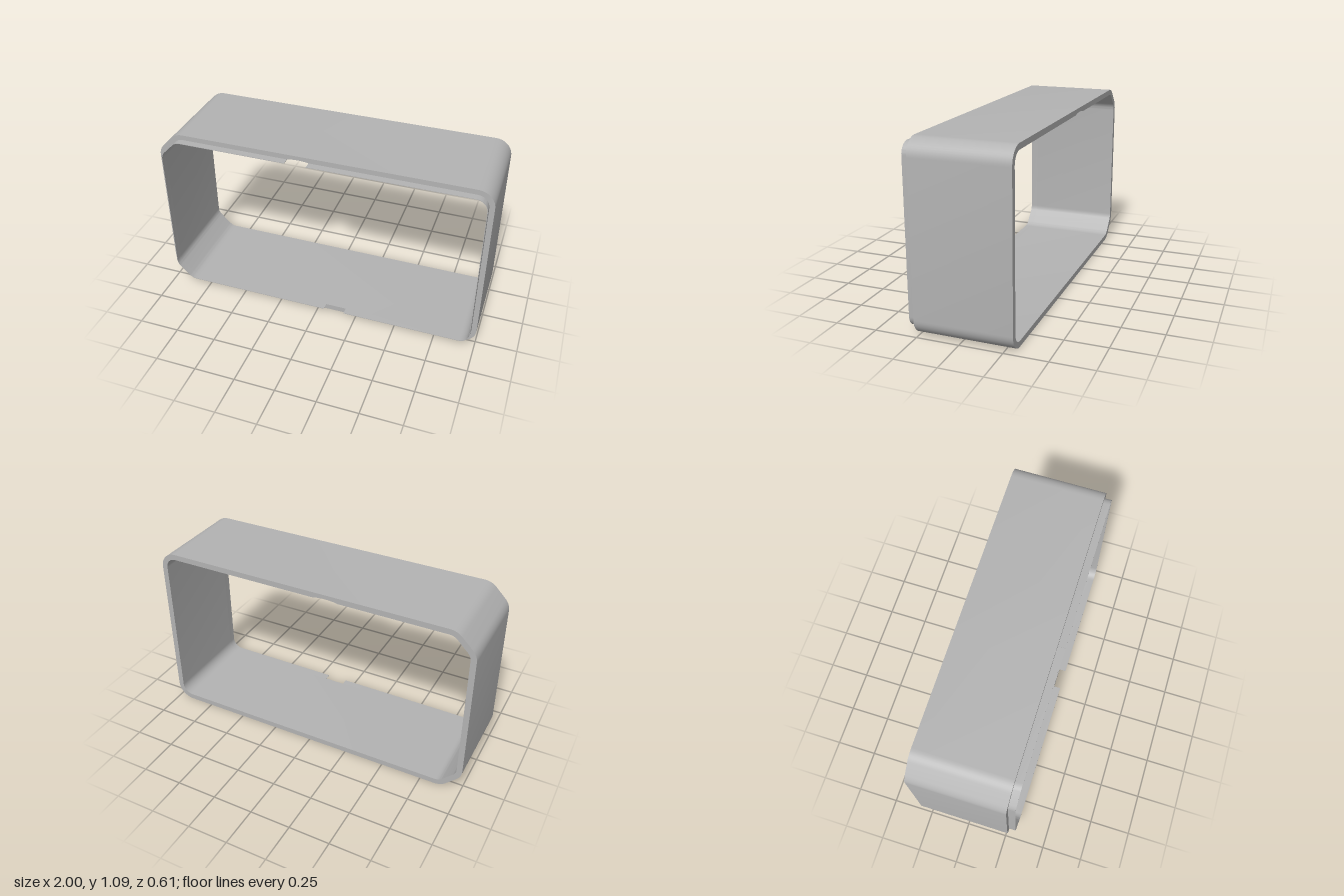
import * as THREE from 'three';
import { toCreasedNormals } from 'three/addons/utils/BufferGeometryUtils.js';

const H = 1.093, R = 0.1, WALL = 0.034, LIP_OFFSET = 0.031;
const BACK = -0.307, STEP = 0.264, FRONT = 0.307;

// Corner arcs: centre x, centre y, start and end angle in degrees
const rightArcs = [[0.9, R, -90, 0], [0.9, H - R, 0, 90]];
const leftArcs = [
  [-0.839, H - R, 90, 135], [-0.9, 0.932, 135, 180],
  [-0.9, H - 0.932, 180, 225], [-0.839, R, 225, 270],
];

// Points along the given corners, moved inward by d
function trace(arcs, d) {
  const points = [];
  for (const [cx, cy, a, b] of arcs) {
    const n = Math.round((b - a) / 7.5);
    for (let i = 0; i <= n; i++) {
      const t = THREE.MathUtils.degToRad(a + ((b - a) * i) / n);
      points.push(new THREE.Vector2(cx + (R - d) * Math.cos(t), cy + (R - d) * Math.sin(t)));
    }
  }
  return points;
}

function extrude(shape, z0, z1, material, name) {
  const geometry = new THREE.ExtrudeGeometry(shape, { depth: z1 - z0, bevelEnabled: false });
  geometry.translate(0, 0, z0);
  const mesh = new THREE.Mesh(toCreasedNormals(geometry, 0.5), material);
  mesh.name = name;
  return mesh;
}

// One open run of the lip, between a start and an end point on its outer line
function lipShape(arcs, startX, startTop, endX) {
  const run = (d) => [
    new THREE.Vector2(startX, startTop ? H - d : d),
    ...trace(arcs, d),
    new THREE.Vector2(endX, startTop ? d : H - d),
  ];
  return new THREE.Shape([...run(LIP_OFFSET), ...run(WALL).reverse()]);
}

export function createModel() {
  const group = new THREE.Group();
  group.name = 'frame';
  const grey = new THREE.MeshStandardMaterial({ color: 0xb3b3b3 });
  grey.name = 'grey';

  // Hollow body with a shallow groove along the inside of the top wall
  const groove = [];
  for (let i = 0; i <= 12; i++) {
    const u = 1 - i / 6;
    groove.push(new THREE.Vector2(-0.115 + 0.08 * u, H - WALL + 0.009 * (1 - u * u)));
  }
  const outline = new THREE.Shape([...trace(rightArcs, 0), ...trace(leftArcs, 0)]);
  outline.holes.push(new THREE.Path([...trace(rightArcs, WALL), ...groove, ...trace(leftArcs, WALL)]));
  group.add(extrude(outline, BACK, STEP, grey, 'body'));

  // Thin front lip, interrupted by a notch at top and bottom
  group.add(extrude(lipShape(leftArcs, -0.18, true, 0.05), STEP, FRONT, grey, 'rightLip'));
  group.add(extrude(lipShape(rightArcs, 0.18, false, -0.05), STEP, FRONT, grey, 'leftLip'));
  return group;
}
